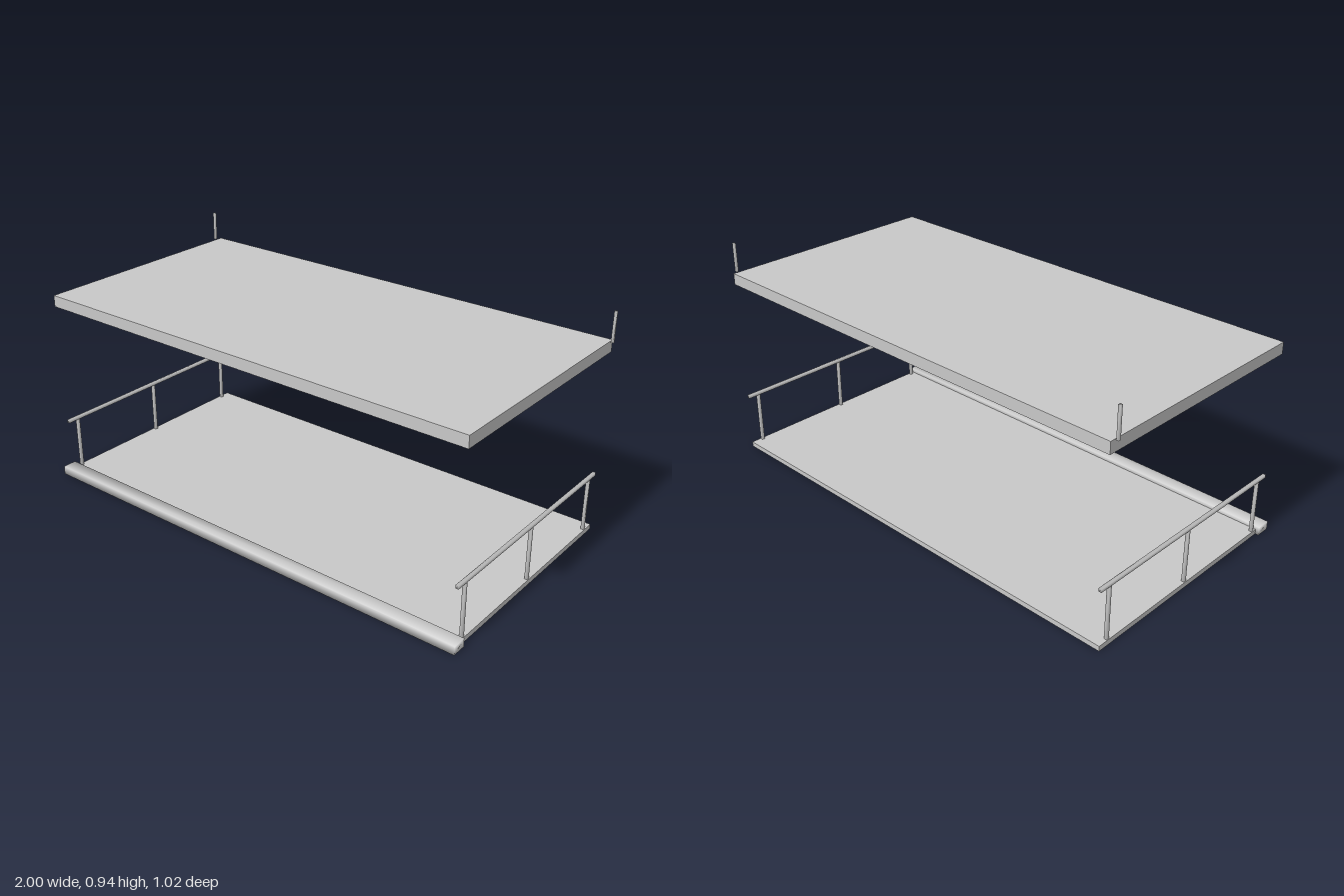
import * as THREE from 'three';
import { mergeVertices } from 'three/addons/utils/BufferGeometryUtils.js';

export function createModel() {
  const model = new THREE.Group();
  model.name = 'deckAndCanopy';

  const grey = new THREE.MeshStandardMaterial({ color: 0xc8c8c8 });
  grey.name = 'light grey';

  // Box given by its [min, max] extents; soft boxes share normals at the corners
  function box(name, [x0, x1], [y0, y1], [z0, z1], soft = false) {
    let geometry = new THREE.BoxGeometry(x1 - x0, y1 - y0, z1 - z0);
    if (soft) {
      geometry.deleteAttribute('normal');
      geometry.deleteAttribute('uv');
      geometry = mergeVertices(geometry);
      geometry.computeVertexNormals();
    }
    const mesh = new THREE.Mesh(geometry, grey);
    mesh.name = name;
    mesh.position.set((x0 + x1) / 2, (y0 + y1) / 2, (z0 + z1) / 2);
    model.add(mesh);
  }

  // Floor slab and the raised kerb along its front edge
  box('floor', [-0.982, 0.982], [0, 0.021], [-0.507, 0.45]);
  box('frontKerb', [-0.996, 0.996], [0, 0.036], [0.448, 0.508], true);

  // Canopy slab
  box('canopy', [-0.984, 0.984], [0.766, 0.814], [-0.507, 0.478]);

  // Two flat lamps under the canopy
  box('rightLamp', [-0.767, -0.47], [0.757, 0.767], [-0.046, 0.016], true);
  box('leftLamp', [0.463, 0.76], [0.757, 0.767], [-0.046, 0.016], true);

  for (const [label, side] of [['left', 1], ['right', -1]]) {
    // Handrail on three posts
    const x = side * 0.973;
    box(label + 'Handrail', [x - 0.0065, x + 0.0065], [0.242, 0.255], [-0.507, 0.478], true);
    for (const z of [0.428, -0.015, -0.458]) {
      box(label + 'Post', [x - 0.006, x + 0.006], [0.02, 0.243], [z - 0.006, z + 0.006], true);
    }
    // Thin upright pin beside the rear corner of the canopy
    const px = side * 0.995;
    box(label + 'RearPin', [px - 0.005, px + 0.005], [0.813, 0.937], [-0.488, -0.478], true);
  }

  return model;
}
